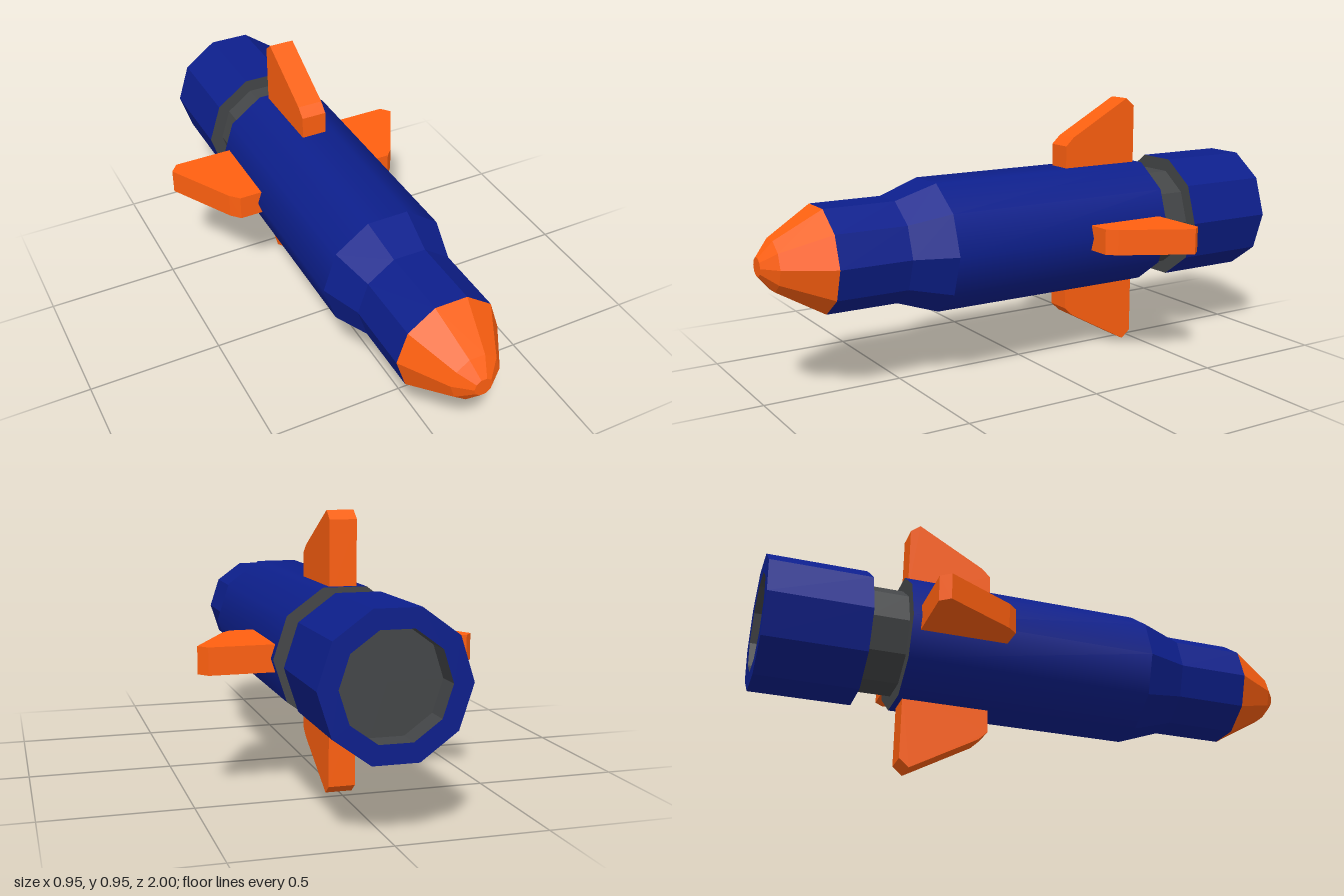
import * as THREE from 'three';

const SIDES = 10;
const CENTRE_Y = 0.474;
const paint = (color, flatShading = true) => new THREE.MeshStandardMaterial({ color, flatShading });
const blue = paint(0x0d1f8c);
const smoothBlue = paint(0x0d1f8c, false);
const orange = paint(0xff6010);
const grey = paint(0x444648);

// Ten-sided turned part along z; profile of [radius, z], running from back to front
function turned(name, profile, material) {
  const points = profile.map(([r, z]) => new THREE.Vector2(r, z));
  const geometry = new THREE.LatheGeometry(points, SIDES, Math.PI / 2);
  geometry.rotateX(Math.PI / 2);
  const mesh = new THREE.Mesh(geometry, material);
  mesh.name = name;
  return mesh;
}

// Fin plate: outline of [z, radius], extruded to its thickness across x
function finGeometry(thickness) {
  const outline = [[-0.49, 0.19], [-0.18, 0.19], [-0.18, 0.31], [-0.213, 0.341], [-0.455, 0.474], [-0.49, 0.445]];
  const shape = new THREE.Shape(outline.map(([z, r]) => new THREE.Vector2(z, r)));
  const geometry = new THREE.ExtrudeGeometry(shape, { depth: thickness, bevelEnabled: false });
  geometry.translate(0, 0, -thickness / 2);
  geometry.rotateY(-Math.PI / 2);
  return geometry;
}

export function createModel() {
  const model = new THREE.Group();
  model.name = 'rocket';
  const hull = new THREE.Group();
  hull.name = 'hull';
  hull.position.y = CENTRE_Y;
  model.add(hull);

  // Tail section with a shallow recessed exhaust
  hull.add(
    turned('exhaustRecess', [[0, -0.92], [0.175, -0.92], [0.175, -1]], grey),
    turned('tailSection', [[0.175, -1], [0.24, -1], [0.24, -0.645]], blue),
    // Narrow neck, including the step faces at either end
    turned('neck', [[0.24, -0.645], [0.19, -0.645], [0.19, -0.51], [0.24, -0.51]], grey),
    // Main barrel, shoulder and nose
    turned('barrel', [[0.24, -0.51], [0.24, 0.38]], smoothBlue),
    turned('shoulder', [[0.24, 0.38], [0.188, 0.53], [0.188, 0.79]], blue),
    turned('nose', [[0.188, 0.79], [0.09, 0.953], [0.033, 1], [0, 1]], orange),
  );

  // Four fins; the side pair sits slightly further forward
  const fin = finGeometry(0.092);
  ['topFin', 'rightFin', 'bottomFin', 'leftFin'].forEach((name, i) => {
    const mesh = new THREE.Mesh(fin, orange);
    mesh.name = name;
    mesh.rotation.z = i * Math.PI / 2;
    mesh.position.z = i % 2 ? 0.01 : 0;
    hull.add(mesh);
  });

  return model;
}
